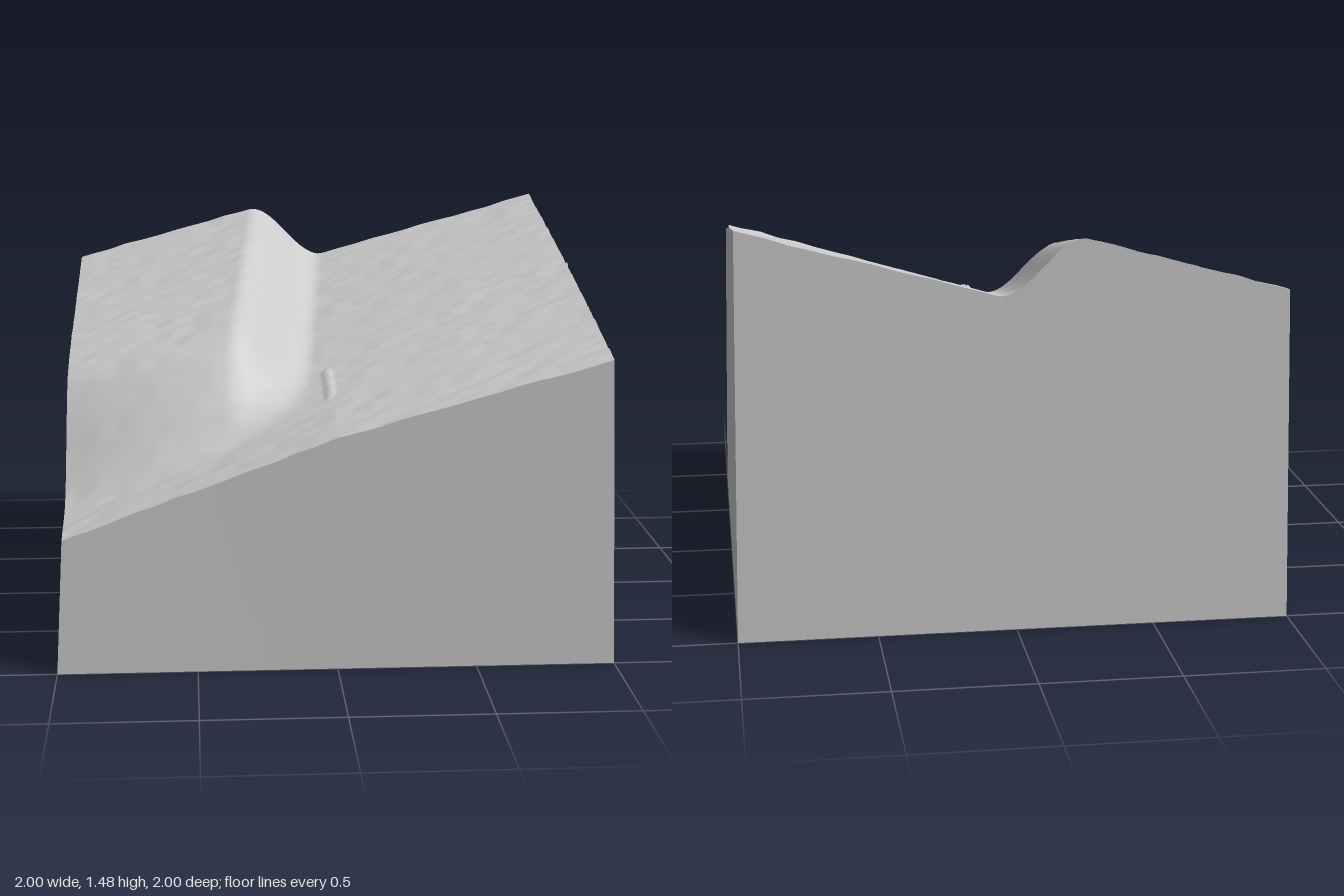
import * as THREE from 'three';

const TOP = 0.975; // half width of the ground
const BASE = 1; // half width of the skirt at its foot
const N = 128;

const smooth = (a, b, v) => THREE.MathUtils.smoothstep(v, a, b);

// seeded value noise
function hash(i, j) {
  const s = Math.sin(i * 127.1 + j * 311.7) * 43758.5453;
  return s - Math.floor(s);
}
function noise(x, z) {
  const i = Math.floor(x), j = Math.floor(z), u = x - i, v = z - j;
  const a = hash(i, j) * (1 - u) + hash(i + 1, j) * u;
  const b = hash(i, j + 1) * (1 - u) + hash(i + 1, j + 1) * u;
  return a * (1 - v) + b * v - 0.5;
}

// sloping plain, raised plateau at the right, sunken front corner
function height(x, z) {
  const plain = 1.025 + 0.275 * x - 0.19 * z + 0.012 * (1 - z * z) * smooth(-0.2, 0.6, x);
  const sunk = 0.09 * Math.max(0, -x) * smooth(0.1, 0.8, z);
  const cliffX = -0.09 - 0.09 * (z + 1);
  const cliffZ = 0.595 - 0.45 * (x + 0.65) ** 2;
  const plateau = 0.28 * (1 - smooth(cliffX - 0.16, cliffX + 0.16, x))
    * (1 - smooth(cliffZ - 0.24, cliffZ + 0.2, z));
  const seam = 0.012 * (1 - smooth(0.004, 0.022, Math.abs(z - 0.005))) * smooth(0.2, 0.9, Math.abs(x));
  const strip = Math.abs(x) < 0.01 && z > 0.35 && z < 0.6 ? 0.012 : 0;
  const grain = 0.008 * noise(x * 14 + 50, z * 34 + 50);
  return plain - sunk + plateau + seam + strip + grain;
}

// one tapered wall; at(t) gives the direction of the edge point on the unit square
function wall(at) {
  const pos = [], index = [];
  for (let i = 0; i <= N; i++) {
    const [x, z] = at(-1 + (2 * i) / N);
    pos.push(x * TOP, height(x * TOP, z * TOP), z * TOP, x * BASE, 0, z * BASE);
    if (i < N) {
      const k = 2 * i;
      index.push(k, k + 1, k + 2, k + 1, k + 3, k + 2);
    }
  }
  const g = new THREE.BufferGeometry();
  g.setAttribute('position', new THREE.Float32BufferAttribute(pos, 3));
  g.setIndex(index);
  g.computeVertexNormals();
  return g;
}

export function createModel() {
  const group = new THREE.Group();
  group.name = 'terrainTile';
  const material = new THREE.MeshStandardMaterial({ color: 0xcccccc, side: THREE.DoubleSide });
  const add = (name, geometry) => {
    const mesh = new THREE.Mesh(geometry, material);
    mesh.name = name;
    group.add(mesh);
  };

  // ground surface
  const ground = new THREE.PlaneGeometry(2 * TOP, 2 * TOP, N, N).rotateX(-Math.PI / 2);
  const p = ground.attributes.position;
  for (let i = 0; i < p.count; i++) p.setY(i, height(p.getX(i), p.getZ(i)));
  ground.computeVertexNormals();
  add('ground', ground);

  // skirt walls, open underneath
  add('frontSkirt', wall((t) => [t, 1]));
  add('backSkirt', wall((t) => [-t, -1]));
  add('leftSkirt', wall((t) => [1, -t]));
  add('rightSkirt', wall((t) => [-1, t]));
  return group;
}
